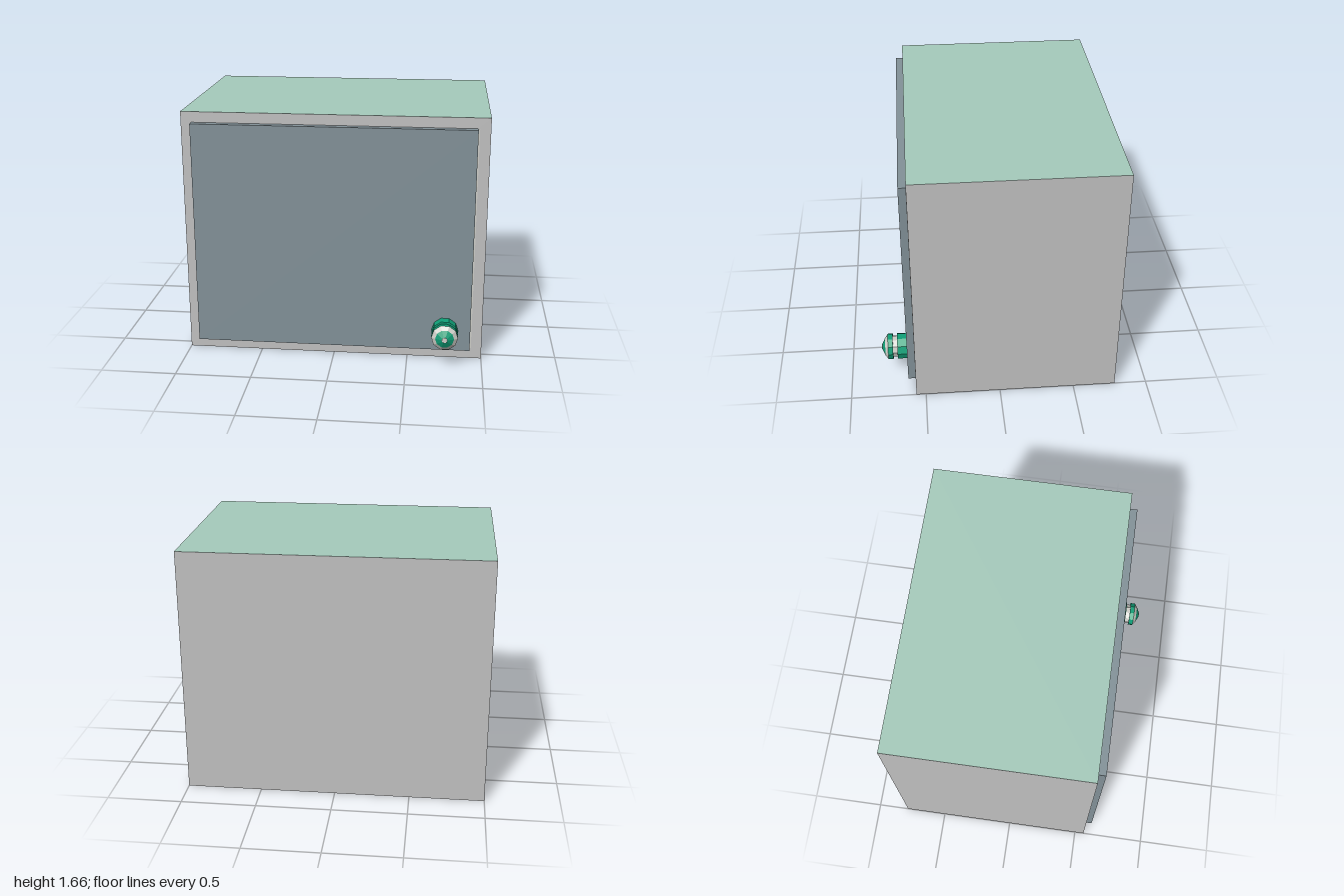
import * as THREE from 'three';

export function createModel() {
  const group = new THREE.Group();
  group.name = 'cabinet';

  const material = (name, color) => {
    const m = new THREE.MeshStandardMaterial({ color, flatShading: true });
    m.name = name;
    return m;
  };
  const grey = material('cabinet grey', 0xc2c2c2);
  const mint = material('mint top', 0xa6cbbc);
  const slate = material('slate door', 0x839299);
  const teal = material('knob teal', 0x10a078);
  const pale = material('knob pale', 0xd0d0ca);

  // Box given by its minimum and maximum corners
  const box = (name, mat, [x0, y0, z0], [x1, y1, z1]) => {
    const mesh = new THREE.Mesh(new THREE.BoxGeometry(x1 - x0, y1 - y0, z1 - z0), mat);
    mesh.position.set((x0 + x1) / 2, (y0 + y1) / 2, (z0 + z1) / 2);
    mesh.name = name;
    group.add(mesh);
  };

  // Cabinet body with a mint top face (material order: +x -x +y -y +z -z)
  box('body', [grey, grey, mint, grey, grey, grey], [-1, 0, -0.785], [1, 1.66, 0.565]);

  // Door, with a narrow pale strip beside it
  box('door', slate, [-0.93, 0.075, 0.565], [0.92, 1.59, 0.615]);
  box('doorGap', pale, [0.92, 0.075, 0.563], [0.93, 1.59, 0.567]);

  // Ten-sided knob, built in sections: name, material, back z, front z, back radius, front radius
  const knob = new THREE.Group();
  knob.name = 'knob';
  knob.position.set(0.75, 0.222, 0);
  const sections = [
    ['knobBase', teal, 0.61, 0.68, 0.088, 0.088],
    ['knobNeck', pale, 0.68, 0.71, 0.073, 0.073],
    ['knobRim', teal, 0.71, 0.743, 0.088, 0.088],
    ['knobBevel', pale, 0.743, 0.762, 0.088, 0.062],
    ['knobCone', teal, 0.762, 0.783, 0.062, 0.019],
    ['knobTip', pale, 0.783, 0.785, 0.019, 0.018],
  ];
  for (const [name, mat, z0, z1, r0, r1] of sections) {
    const geometry = new THREE.CylinderGeometry(r1, r0, z1 - z0, 10, 1, false, Math.PI / 2);
    geometry.rotateX(Math.PI / 2);
    const mesh = new THREE.Mesh(geometry, mat);
    mesh.position.z = (z0 + z1) / 2;
    mesh.name = name;
    knob.add(mesh);
  }
  group.add(knob);

  return group;
}
